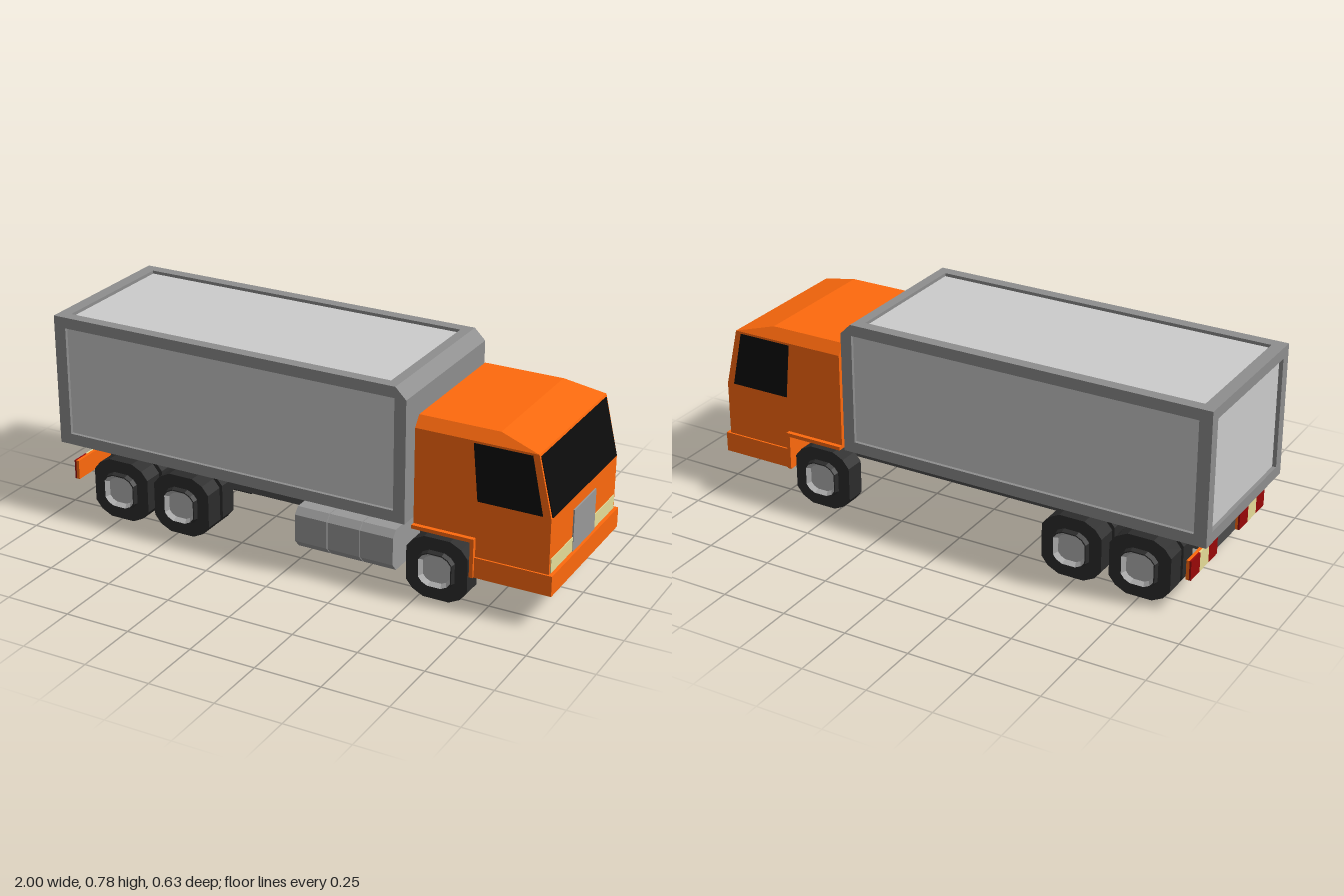
import * as THREE from 'three';
import { ConvexGeometry } from 'three/addons/geometries/ConvexGeometry.js';

const mat = (color) => new THREE.MeshStandardMaterial({ color, flatShading: true, side: THREE.DoubleSide });

export function createModel() {
  const truck = new THREE.Group();
  const orange = mat(0xff6a0d), dark = mat(0x4c4c4c), rubber = mat(0x2c2c2c), glass = mat(0x0c0c0c);
  const frameGrey = mat(0x8e8e8e), panelGrey = mat(0xcccccc), metal = mat(0x999999);
  const cream = mat(0xe6dd98), red = mat(0x990808), hubGrey = mat(0xb4b4b4);

  function add(name, geometry, material, parent = truck) {
    const mesh = new THREE.Mesh(geometry, material);
    mesh.name = name;
    parent.add(mesh);
    return mesh;
  }
  // box given by its limits on each axis
  function box(name, material, [x0, x1], [y0, y1], [z0, z1], parent) {
    const g = new THREE.BoxGeometry(x1 - x0, y1 - y0, z1 - z0);
    g.translate((x0 + x1) / 2, (y0 + y1) / 2, (z0 + z1) / 2);
    return add(name, g, material, parent);
  }
  // side profile in x, y pulled along z
  function extrudeZ(name, material, points, z0, z1, parent) {
    const shape = new THREE.Shape(points.map(([x, y]) => new THREE.Vector2(x, y)));
    const g = new THREE.ExtrudeGeometry(shape, { depth: z1 - z0, bevelEnabled: false });
    g.translate(0, 0, z0);
    return add(name, g, material, parent);
  }
  // mirrored z range
  const span = (s, a, b) => (s > 0 ? [a, b] : [-b, -a]);

  // cargo box: inset panels inside a raised frame
  const cargo = new THREE.Group();
  cargo.name = 'cargoBox';
  truck.add(cargo);
  box('cargoPanels', panelGrey, [-0.985, 0.41], [0.28, 0.768], [-0.302, 0.302], cargo);
  extrudeZ('cargoFrontFrame', frameGrey,
    [[0.405, 0.272], [0.45, 0.272], [0.45, 0.738], [0.408, 0.78], [0.37, 0.78], [0.37, 0.738], [0.405, 0.738]],
    -0.315, 0.315, cargo);
  box('cargoFloor', frameGrey, [-0.98, 0.405], [0.272, 0.29], [-0.3, 0.3], cargo);
  for (const s of [1, -1]) {
    const z = span(s, 0.272, 0.315);
    box('cargoBottomRail', frameGrey, [-1, 0.405], [0.272, 0.315], z, cargo);
    box('cargoTopRail', frameGrey, [-1, 0.37], [0.738, 0.78], z, cargo);
    box('cargoRearPost', frameGrey, [-1, -0.952], [0.315, 0.738], z, cargo);
  }
  for (const y of [[0.272, 0.315], [0.738, 0.78]])
    box('cargoRearCrossBar', frameGrey, [-1, -0.952], y, [-0.272, 0.272], cargo);

  // chassis
  box('chassis', dark, [-0.93, 0.71], [0.128, 0.265], [-0.1, 0.1]);
  box('chassisMount', dark, [-0.93, 0.4], [0.265, 0.275], [-0.1, 0.1]);
  box('cabMount', orange, [0.44, 0.7], [0.262, 0.268], [-0.098, 0.098]);

  // cab shell with chamfered roof
  const cab = new THREE.Group();
  cab.name = 'cab';
  truck.add(cab);
  const cabPoints = [];
  for (const s of [1, -1])
    for (const [x, y, z] of [[0.475, 0.263, 0.295], [0.475, 0.636, 0.295], [0.475, 0.675, 0.265],
      [0.78, 0.675, 0.265], [0.932, 0.636, 0.295], [0.985, 0.41, 0.295], [0.985, 0.263, 0.295]])
      cabPoints.push(new THREE.Vector3(x, y, z * s));
  add('cabShell', new ConvexGeometry(cabPoints), orange, cab);
  box('cabLowerFront', orange, [0.7, 0.985], [0.128, 0.263], [-0.295, 0.295], cab);
  box('bumper', orange, [0.71, 1], [0.126, 0.203], [-0.302, 0.302], cab);
  box('grille', metal, [0.97, 0.99], [0.203, 0.362], [-0.098, 0.098], cab);
  extrudeZ('windshield', glass,
    [[0.9325, 0.627], [0.937, 0.627], [0.9885, 0.413], [0.98, 0.413]], -0.286, 0.286, cab);
  for (const s of [1, -1]) {
    box('headlight', cream, [0.97, 0.988], [0.205, 0.258], span(s, 0.098, 0.285), cab);
    extrudeZ('sideWindow', glass,
      [[0.695, 0.628], [0.91, 0.628], [0.955, 0.415], [0.715, 0.415]], ...span(s, 0.29, 0.297), cab);
    extrudeZ('fender', orange,
      [[0.475, 0.262], [0.698, 0.262], [0.698, 0.128], [0.712, 0.128], [0.712, 0.276], [0.475, 0.276]],
      ...span(s, 0.28, 0.312), cab);
  }

  // storage boxes with chamfered outer edges
  const section = [[0.1, 0.075], [0.125, 0.07], [0.285, 0.07], [0.312, 0.1], [0.312, 0.205], [0.29, 0.23], [0.1, 0.23]];
  for (let i = 0; i < 3; i++) {
    const width = 0.132;
    const shape = new THREE.Shape(section.map(([z, y]) => new THREE.Vector2(-z, y)));
    const g = new THREE.ExtrudeGeometry(shape, { depth: width - 0.003, bevelEnabled: false });
    g.rotateY(Math.PI / 2).translate(0.012 + i * width, 0, 0);
    add('storageBox', g, metal);
  }

  // tail lights in three blocks on a plate
  for (const s of [1, -1]) {
    box('tailPlate', orange, [-0.94, -0.928], [0.13, 0.205], span(s, 0.095, 0.31));
    for (let i = 0; i < 3; i++) {
      const z = 0.095 + i * 0.0717;
      box('tailLight', i === 1 ? cream : red, [-0.947, -0.94], [0.13, 0.205], span(s, z, z + 0.0717));
    }
  }

  // twelve-sided wheel outline of unit half-height
  const outline = [];
  for (const [sx, sy, flip] of [[1, 1, 0], [-1, 1, 1], [-1, -1, 0], [1, -1, 1]]) {
    const corner = [[1, 0.55], [0.78, 0.82], [0.42, 1]].map(([x, y]) => [x * sx, y * sy]);
    outline.push(...(flip ? corner.reverse() : corner));
  }
  // skin through scaled outlines, each [radius, z]
  function loft(rings) {
    const pos = [], n = outline.length;
    const at = (r, i) => [outline[i % n][0] * r[0], outline[i % n][1] * r[0], r[1]];
    for (let k = 0; k < rings.length - 1; k++)
      for (let i = 0; i < n; i++) {
        const [a, b] = [at(rings[k], i), at(rings[k], i + 1)];
        const [c, d] = [at(rings[k + 1], i + 1), at(rings[k + 1], i)];
        if (rings[k][0] > 0) pos.push(...a, ...b, ...c);
        if (rings[k + 1][0] > 0) pos.push(...a, ...c, ...d);
      }
    const g = new THREE.BufferGeometry();
    g.setAttribute('position', new THREE.Float32BufferAttribute(pos, 3));
    g.computeVertexNormals();
    return g;
  }
  const tyre = loft([[0, 0.215], [0.118, 0.215], [0.118, 0.295], [0.07, 0.295], [0.066, 0.314], [0.062, 0.314]]);
  const hub = loft([[0.062, 0.314], [0.05, 0.298], [0, 0.298]]);
  const innerTyre = loft([[0, 0.12], [0.118, 0.12], [0.118, 0.197], [0.068, 0.197], [0.068, 0.216]]);
  for (const [x, dual] of [[0.567, false], [-0.482, true], [-0.748, true]])
    for (const s of [1, -1]) {
      const wheel = new THREE.Group();
      wheel.name = dual ? 'rearWheel' : 'frontWheel';
      wheel.position.set(x, 0.118, 0);
      wheel.rotation.y = s > 0 ? 0 : Math.PI;
      add('tyre', tyre, rubber, wheel);
      add('hub', hub, hubGrey, wheel);
      if (dual) add('innerTyre', innerTyre, rubber, wheel);
      truck.add(wheel);
    }
  return truck;
}
